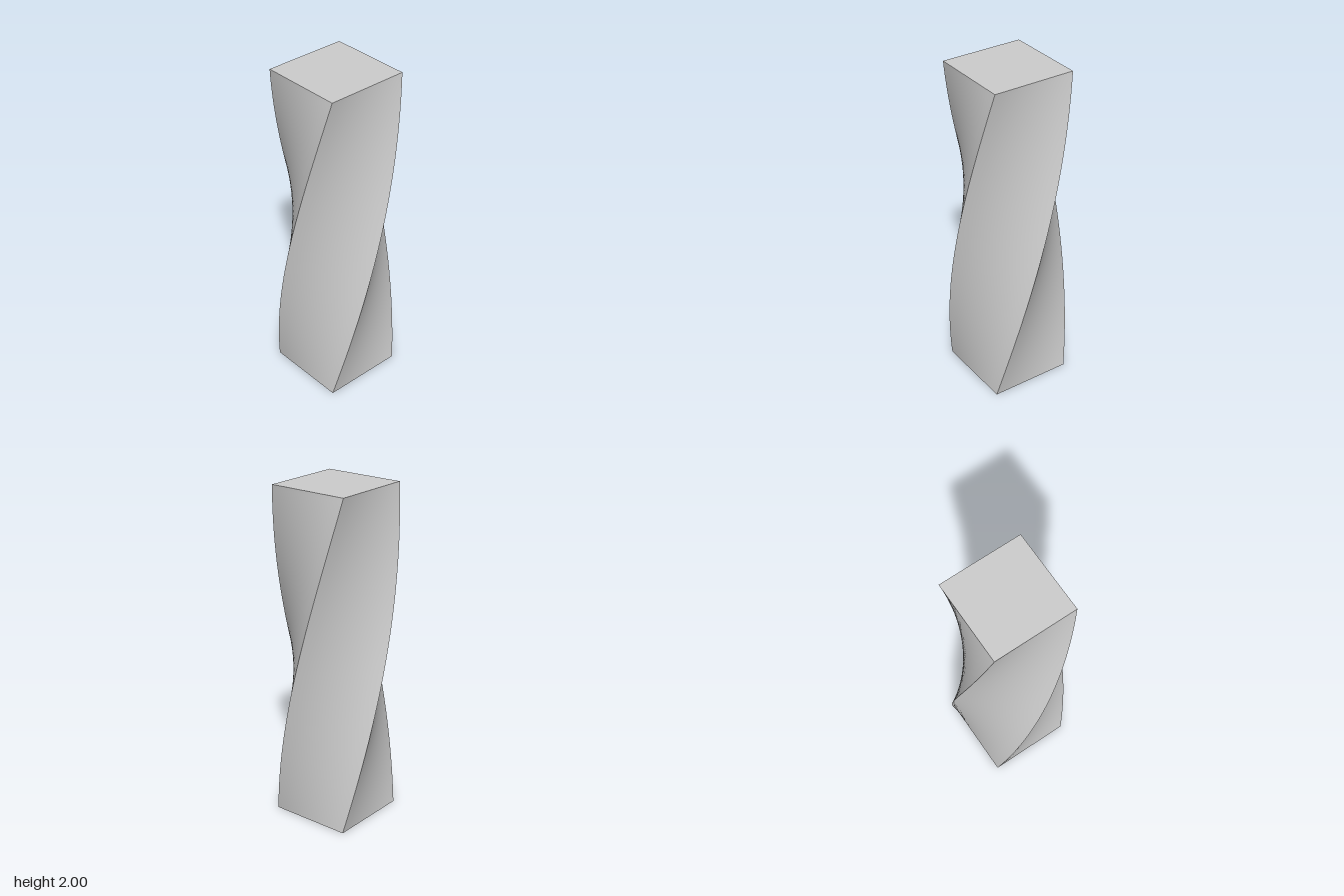
import * as THREE from 'three';

const WIDTH = 0.5, HEIGHT = 2, TWIST = Math.PI / 2;

// Square column whose section turns steadily from bottom to top
function twistedColumn() {
  const geometry = new THREE.BoxGeometry(WIDTH, HEIGHT, WIDTH, 8, 80, 8);
  geometry.translate(0, HEIGHT / 2, 0);
  const position = geometry.attributes.position;
  const up = new THREE.Vector3(0, 1, 0);
  const p = new THREE.Vector3();
  for (let i = 0; i < position.count; i++) {
    p.fromBufferAttribute(position, i);
    p.applyAxisAngle(up, TWIST * p.y / HEIGHT);
    position.setXYZ(i, p.x, p.y, p.z);
  }
  // The box sides share no vertices, so the corner edges stay sharp
  geometry.computeVertexNormals();
  return geometry;
}

export function createModel() {
  const model = new THREE.Group();
  model.name = 'twistedPillar';
  const column = new THREE.Mesh(
    twistedColumn(),
    new THREE.MeshStandardMaterial({ color: 0xcccccc })
  );
  column.name = 'column';
  model.add(column);
  return model;
}
